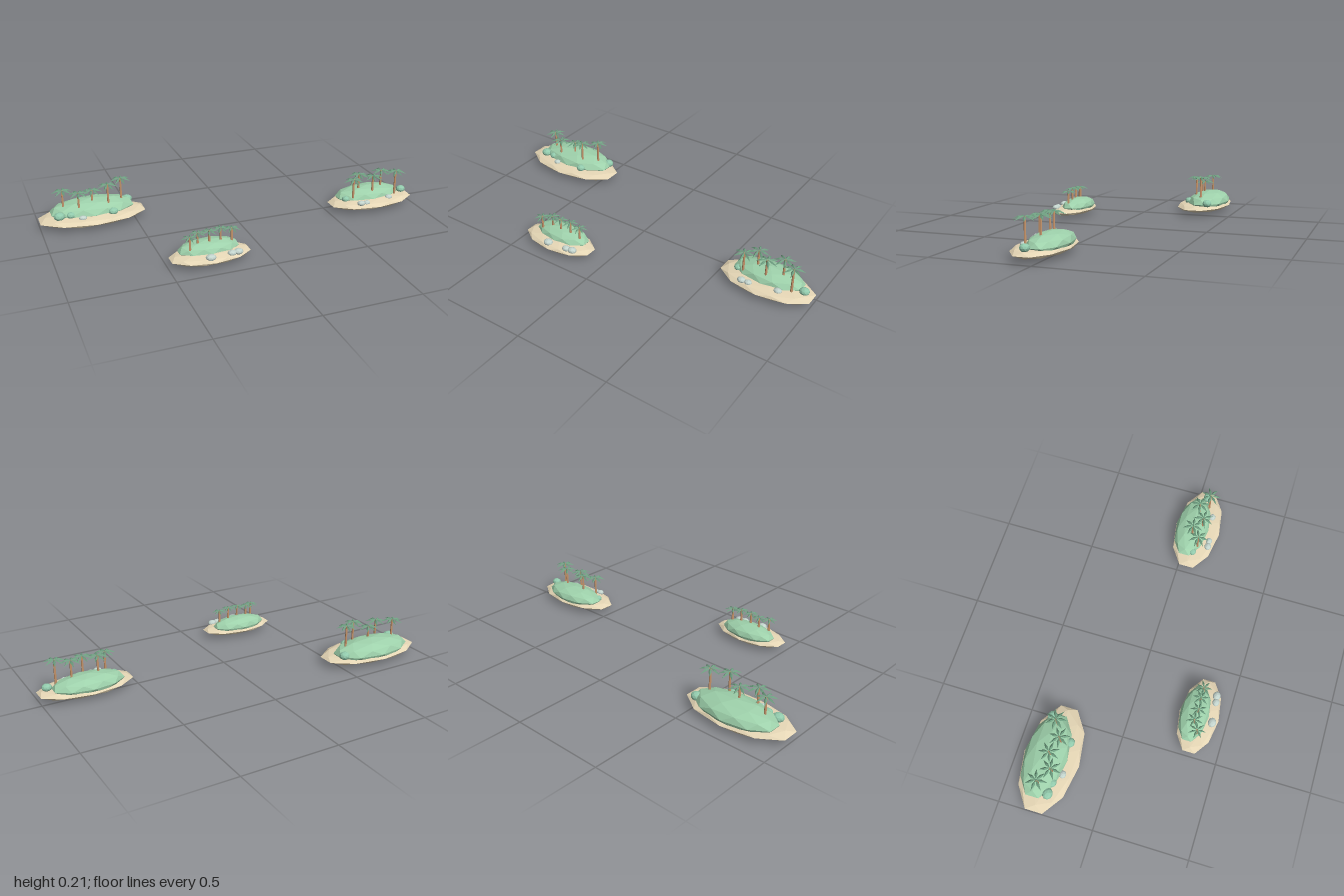
import * as THREE from 'three';

const paint = (name, color, extra = {}) => Object.assign(new THREE.MeshStandardMaterial({ color, flatShading: true, ...extra }), { name });

// Faceted ball with a vertical five-fold axis, so its outline from above is a decagon
function facetedBall() {
  const v = [0, 1, 0], f = [];
  for (const [h, turn] of [[0.447, 0], [-0.447, Math.PI / 5]])
    for (let i = 0; i < 5; i++) {
      const a = i * Math.PI * 0.4 + turn;
      v.push(0.894 * Math.cos(a), h, -0.894 * Math.sin(a));
    }
  v.push(0, -1, 0);
  for (let i = 0; i < 5; i++) {
    const j = (i + 1) % 5;
    f.push(0, 1 + i, 1 + j, 1 + i, 6 + i, 1 + j, 6 + i, 6 + j, 1 + j, 11, 6 + j, 6 + i);
  }
  const g = new THREE.PolyhedronGeometry(v, f, 1, 1);
  g.computeVertexNormals();
  return g;
}

// Crown of seven creased, drooping fronds with unit reach
function crownGeometry() {
  const pos = [], n = 7;
  for (let i = 0; i < n; i++) {
    const a = (i / n) * Math.PI * 2 + 0.3;
    const at = (r, side, y) => [r * Math.cos(a) - side * Math.sin(a), y, -r * Math.sin(a) - side * Math.cos(a)];
    const root = at(0, 0, 0.05), ridge = at(0.55, 0, 0.07), tip = at(1.1, 0, -0.27);
    const left = at(0.5, 0.15, -0.06), right = at(0.5, -0.15, -0.06);
    pos.push(...root, ...ridge, ...left, ...left, ...ridge, ...tip);
    pos.push(...root, ...right, ...ridge, ...right, ...tip, ...ridge);
  }
  const g = new THREE.BufferGeometry();
  g.setAttribute('position', new THREE.Float32BufferAttribute(pos, 3));
  g.computeVertexNormals();
  return g;
}

// sand, hill: [x, y, z, rx, ry, rz]; palms: [x, z, top]; bushes and rocks: [x, y, z, r]
const ISLANDS = [
  {
    name: 'largeIsland', reach: 0.052,
    sand: [-0.72, 0.038, -0.309, 0.294, 0.03, 0.147],
    hill: [-0.715, 0.062, -0.337, 0.231, 0.059, 0.112],
    palms: [[-0.868, -0.322, 0.19], [-0.793, -0.275, 0.184], [-0.715, -0.31, 0.174], [-0.635, -0.28, 0.206], [-0.555, -0.325, 0.213]],
    bushes: [[-0.9, 0.07, -0.265, 0.03], [-0.84, 0.07, -0.26, 0.024], [-0.62, 0.067, -0.24, 0.026], [-0.515, 0.07, -0.372, 0.029]],
    rocks: [[-0.785, 0.06, -0.225, 0.021]],
  },
  {
    name: 'mediumIsland', reach: 0.052,
    sand: [0.76, 0.039, 0.047, 0.252, 0.029, 0.125],
    hill: [0.755, 0.062, 0.018, 0.189, 0.05, 0.092],
    palms: [[0.64, 0.077, 0.18], [0.695, 0.032, 0.188], [0.76, 0.073, 0.184], [0.833, 0.032, 0.192], [0.9, 0.075, 0.194]],
    bushes: [[0.955, 0.07, 0.05, 0.026], [0.605, 0.065, 0.06, 0.022]],
    rocks: [[0.662, 0.06, 0.132, 0.022], [0.697, 0.058, 0.13, 0.02], [0.845, 0.06, 0.108, 0.021]],
  },
  {
    name: 'smallIsland', reach: 0.041,
    sand: [-0.285, 0.038, 0.35, 0.21, 0.028, 0.105],
    hill: [-0.285, 0.06, 0.325, 0.158, 0.046, 0.076],
    palms: [[-0.389, 0.363, 0.15], [-0.342, 0.337, 0.155], [-0.285, 0.342, 0.159], [-0.225, 0.337, 0.161], [-0.167, 0.337, 0.152]],
    bushes: [],
    rocks: [[-0.305, 0.057, 0.424, 0.026], [-0.195, 0.057, 0.415, 0.022], [-0.16, 0.057, 0.41, 0.024]],
  },
];

export function createModel() {
  const model = new THREE.Group();
  model.name = 'islands';
  const mat = {
    sand: paint('sand', 0xe5d6b5),
    grass: paint('grass', 0x9ed1ab),
    bush: paint('bush', 0x92caac),
    rock: paint('rock', 0xc3d4cd),
    trunk: paint('trunk', 0xc8966c),
    frond: paint('frond', 0x6e9e80, { side: THREE.DoubleSide }),
  };
  const ball = facetedBall(), crown = crownGeometry();
  const stem = new THREE.CylinderGeometry(0.005, 0.0065, 1, 6);

  const add = (parent, name, geo, material, [x, y, z], [sx, sy, sz]) => {
    const m = new THREE.Mesh(geo, material);
    m.name = name;
    m.position.set(x, y, z);
    m.scale.set(sx, sy, sz);
    parent.add(m);
    return m;
  };

  for (const d of ISLANDS) {
    const island = new THREE.Group();
    island.name = d.name;
    model.add(island);

    // Sand base and grassy hill
    add(island, 'sandBase', ball, mat.sand, d.sand.slice(0, 3), d.sand.slice(3));
    add(island, 'grassHill', ball, mat.grass, d.hill.slice(0, 3), d.hill.slice(3));

    // Palms, rooted inside the hill
    d.palms.forEach(([x, z, top], i) => {
      const palm = new THREE.Group();
      palm.name = 'palm';
      island.add(palm);
      const foot = 0.055;
      add(palm, 'palmTrunk', stem, mat.trunk, [x, (foot + top) / 2, z], [1, top - foot, 1]);
      add(palm, 'palmCrown', crown, mat.frond, [x, top, z], [d.reach, d.reach, d.reach]).rotation.y = i * 0.7;
    });

    // Shrubs and beach stones
    for (const [x, y, z, r] of d.bushes) add(island, 'bush', ball, mat.bush, [x, y, z], [r, r * 0.75, r * 0.9]);
    for (const [x, y, z, r] of d.rocks) add(island, 'rock', ball, mat.rock, [x, y, z], [r, r * 0.65, r * 0.85]);
  }
  return model;
}
